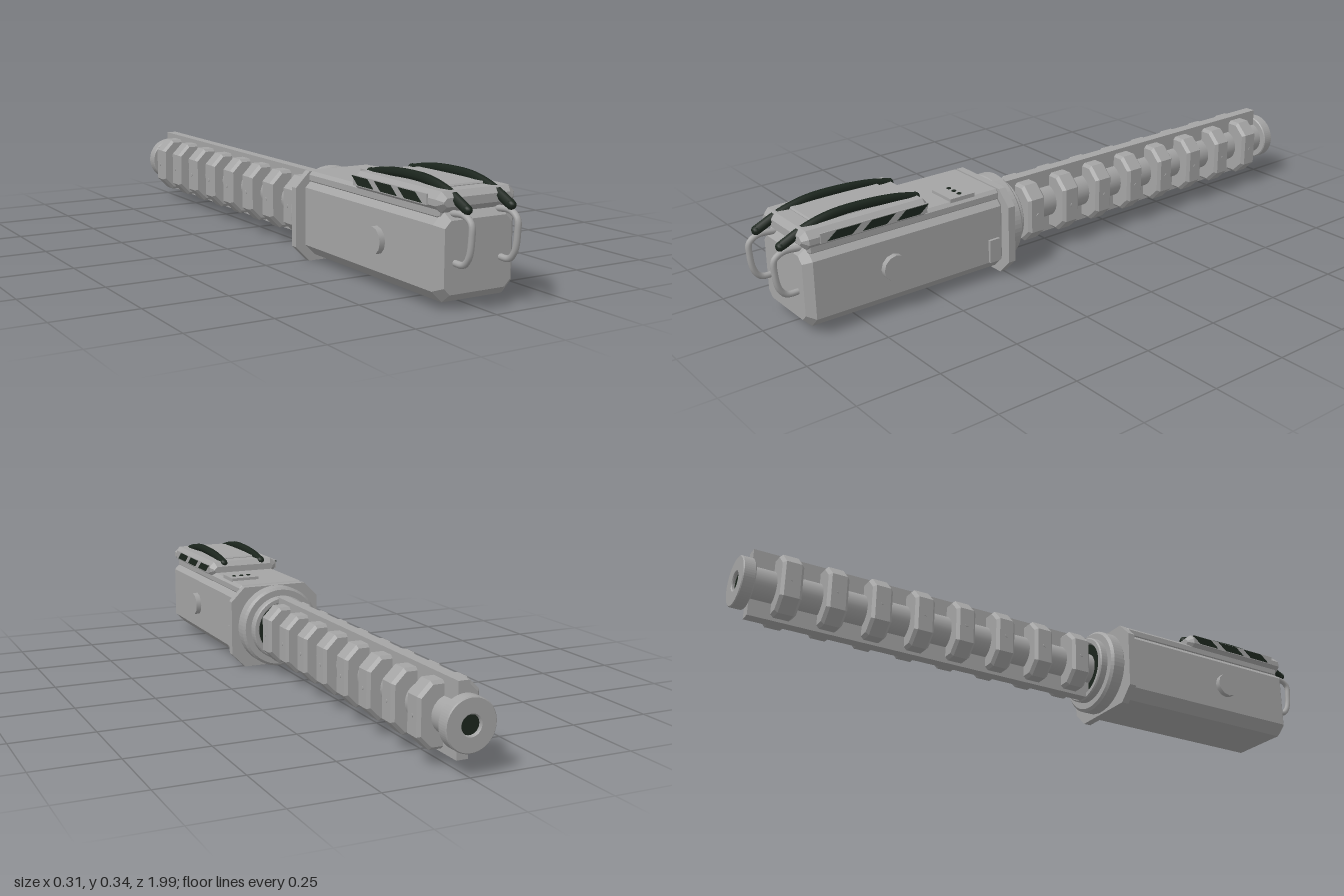
import * as THREE from 'three';

const CY = 0.137; // height of the main axis

export function createModel() {
  const root = new THREE.Group();
  const metal = new THREE.MeshStandardMaterial({ color: 0xa4a4a4 });
  metal.name = 'grey metal';
  const dark = new THREE.MeshStandardMaterial({ color: 0x1b251d });
  dark.name = 'dark green rubber';

  const add = (name, geo, mat = metal, parent = root) => {
    const m = new THREE.Mesh(geo, mat);
    m.name = name;
    parent.add(m);
    return m;
  };

  // Octagonal prism along z with optional end bevels
  const octagon = (hw, y0, y1, c, z0, z1, bevel = 0) => {
    const s = new THREE.Shape([
      [-hw + c, y0], [hw - c, y0], [hw, y0 + c], [hw, y1 - c],
      [hw - c, y1], [-hw + c, y1], [-hw, y1 - c], [-hw, y0 + c],
    ].map(([x, y]) => new THREE.Vector2(x, y)));
    return new THREE.ExtrudeGeometry(s, {
      depth: z1 - z0 - 2 * bevel, bevelEnabled: bevel > 0, bevelSize: bevel,
      bevelThickness: bevel, bevelOffset: -bevel, bevelSegments: 1,
    }).translate(0, 0, z0 + bevel);
  };
  const box = (x0, x1, y0, y1, z0, z1) =>
    new THREE.BoxGeometry(x1 - x0, y1 - y0, z1 - z0)
      .translate((x0 + x1) / 2, (y0 + y1) / 2, (z0 + z1) / 2);
  // Round solid along z, on the main axis
  const round = (r, z0, z1, seg = 32) =>
    new THREE.CylinderGeometry(r, r, z1 - z0, seg).rotateX(Math.PI / 2)
      .translate(0, CY, (z0 + z1) / 2);
  // Hollow ring along z with a chamfered rim
  const ring = (r, hole, z0, z1, c) => {
    const shape = new THREE.Shape().absarc(0, 0, r, 0, Math.PI * 2);
    shape.holes.push(new THREE.Path().absarc(0, 0, hole, 0, Math.PI * 2, true));
    return new THREE.ExtrudeGeometry(shape, {
      depth: z1 - z0 - 2 * c, curveSegments: 32, bevelSize: c, bevelThickness: c,
      bevelOffset: -c, bevelSegments: 1,
    }).translate(0, CY, z0 + c);
  };
  const tube = (pts, x, r, sides) => new THREE.TubeGeometry(
    new THREE.CatmullRomCurve3(pts.map(([z, y]) => new THREE.Vector3(x, y, z))), 32, r, sides);

  // Housing and flange
  add('housing', octagon(0.129, 0.021, 0.257, 0.032, 0.25, 0.92, 0.022));
  add('deck', octagon(0.115, 0.235, 0.272, 0.01, 0.265, 0.9, 0.006));
  add('flange', octagon(0.155, 0, 0.27, 0.046, 0.238, 0.262));
  add('flangeRing', ring(0.134, 0.09, 0.188, 0.24, 0.008));
  add('collar', ring(0.106, 0.086, 0.163, 0.2, 0.004));
  add('collarSeal', round(0.088, 0.174, 0.2), dark);

  // Raised cover on top
  add('topCover', octagon(0.126, 0.254, 0.309, 0.019, 0.515, 0.918, 0.016));
  add('coverRidge', octagon(0.076, 0.3, 0.315, 0.005, 0.575, 0.86, 0.004));

  // Slanted vents on both sides of the cover
  for (const side of [-1, 1]) {
    add('ventPanel', box(side * 0.127 - 0.002, side * 0.127 + 0.002, 0.271, 0.3, 0.53, 0.87));
    for (const z of [0.57, 0.68, 0.79]) {
      const s = new THREE.Shape([
        new THREE.Vector2(z - 0.015, 0.274), new THREE.Vector2(z + 0.06, 0.274),
        new THREE.Vector2(z + 0.03, 0.298), new THREE.Vector2(z - 0.045, 0.298),
      ].map((p) => p));
      const g = new THREE.ExtrudeGeometry(s, { depth: 0.004, bevelEnabled: false });
      g.rotateY(-Math.PI / 2).translate(side * 0.129 + 0.002, 0, 0);
      add('vent', g, dark);
    }

    // Round side button
    add('sideButton', new THREE.CylinderGeometry(0.039, 0.039, 0.025, 12)
      .rotateZ(Math.PI / 2).translate(side * 0.134, 0.14, 0.65));

    // Arched rubber grip and wire hook
    const path = [[0.53, 0.303], [0.6, 0.316], [0.7, 0.323], [0.8, 0.32],
      [0.88, 0.302], [0.96, 0.268]];
    add('grip', tube(path, side * 0.07, 0.0135, 6), dark);
    for (const [z, y] of [path[0], path[5]]) {
      add('gripTip', new THREE.SphereGeometry(0.0135, 8, 6)
        .translate(side * 0.07, y, z), dark);
    }
    add('hook', tube([[0.9, 0.25], [0.955, 0.252], [0.982, 0.235], [0.984, 0.2],
      [0.975, 0.15], [0.955, 0.127], [0.91, 0.125]], side * 0.073, 0.009, 10));
  }

  // Control pad with three dots, and side clip
  add('controlPad', box(0.012, 0.108, 0.268, 0.281, 0.35, 0.435));
  for (const x of [0.034, 0.06, 0.086]) {
    add('padDot', new THREE.CylinderGeometry(0.007, 0.007, 0.004, 10)
      .translate(x, 0.281, 0.39), dark);
  }
  add('sideClip', box(0.12, 0.138, 0.055, 0.127, 0.282, 0.318));

  // Shaft, with fin running through it
  add('shaft', round(0.054, -0.97, 0.19));
  add('fin', box(-0.017, 0.017, 0.035, 0.243, -0.96, 0.175));

  // Octagonal knuckles along the shaft
  for (let i = 0; i < 8; i++) {
    const z = 0.1 - i * 0.1375;
    const knuckle = new THREE.Group();
    knuckle.name = 'knuckle';
    root.add(knuckle);
    add('knuckleBlock', octagon(0.092, CY - 0.092, CY + 0.092, 0.038,
      z - 0.032, z + 0.032, 0.009), metal, knuckle);
    for (const side of [-1, 1]) {
      add('knuckleScrew', new THREE.CylinderGeometry(0.006, 0.006, 0.004, 8)
        .rotateZ(Math.PI / 2).translate(side * 0.092, CY, z), metal, knuckle);
    }
  }

  // End cap with a dark socket
  add('endCap', ring(0.075, 0.028, -1, -0.962, 0.003));
  add('socket', round(0.032, -0.99, -0.965, 16), dark);

  return root;
}
